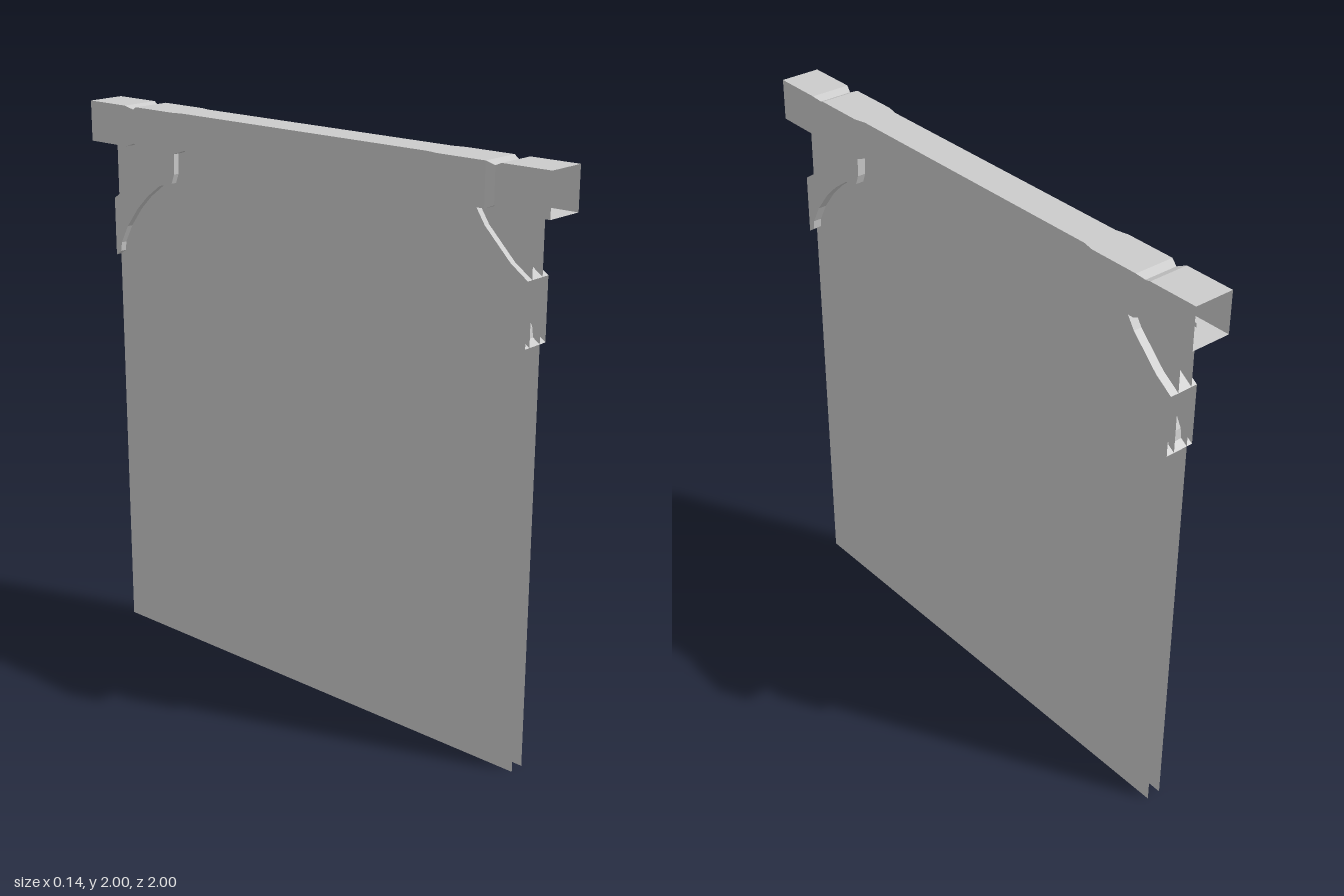
import * as THREE from 'three';

const material = new THREE.MeshStandardMaterial({
  color: 0xcccccc, flatShading: true, side: THREE.DoubleSide,
});

function addMesh(parent, geometry, name) {
  const mesh = new THREE.Mesh(geometry, material);
  mesh.name = name;
  parent.add(mesh);
  return mesh;
}

// Skin of quads between successive rows of points.
function loft(rows) {
  const pos = [];
  for (let i = 0; i < rows.length - 1; i++) {
    for (let j = 0; j < rows[i].length - 1; j++) {
      const a = rows[i][j], b = rows[i][j + 1], c = rows[i + 1][j + 1], d = rows[i + 1][j];
      pos.push(...a, ...b, ...c, ...a, ...c, ...d);
    }
  }
  const g = new THREE.BufferGeometry();
  g.setAttribute('position', new THREE.Float32BufferAttribute(pos, 3));
  g.computeVertexNormals();
  return g;
}

// Hollow square beam: [z, half width, bottom, top], mirrored along z.
function createBeam() {
  const half = [
    [1, 0.072, 1.856, 2],
    [0.82, 0.072, 1.856, 2],
    [0.79, 0.061, 1.868, 1.988],
    [0.762, 0.072, 1.856, 2],
    [0.58, 0.072, 1.856, 2],
    [0.535, 0.062, 1.872, 2],
  ];
  const sections = [...half, ...half.map(([z, ...r]) => [-z, ...r]).reverse()];
  return loft(sections.map(([z, w, b, t]) => [
    [-w, b, z], [w, b, z], [w, t, z], [-w, t, z], [-w, b, z],
  ]));
}

// Curved bracket, open towards the wall and the beam; outlines are [z, y].
function createBracket(name) {
  const upper = [[0.713, 1.856], [0.75, 1.80], [0.805, 1.745], [0.85, 1.70], [0.915, 1.655]];
  const lower = [
    [0.915, 1.445], [0.89, 1.462], [0.885, 1.495], [0.85, 1.56], [0.795, 1.63],
    [0.74, 1.683], [0.675, 1.73], [0.613, 1.746], [0.6, 1.78], [0.597, 1.856],
  ];
  const x0 = -0.05, x1 = 0.055;
  const bracket = new THREE.Group();
  bracket.name = name;
  const strip = (pts) => loft(pts.map(([z, y]) => [[x0, y, z], [x1, y, z]]));
  addMesh(bracket, strip(upper), 'bracketUpperCurve');
  addMesh(bracket, strip(lower), 'bracketLowerCurve');

  const shape = new THREE.Shape([...upper, ...lower].map(([z, y]) => new THREE.Vector2(z, y)));
  for (const [x, side] of [[x0, 'bracketRightSide'], [x1, 'bracketLeftSide']]) {
    const g = new THREE.ShapeGeometry(shape).rotateY(-Math.PI / 2).translate(x, 0, 0);
    addMesh(bracket, g, side);
  }
  return bracket;
}

export function createModel() {
  const model = new THREE.Group();
  model.name = 'hangingScreen';
  addMesh(model, createBeam(), 'beam');

  // Two thin sheets hanging below the beam
  for (const [x, name] of [[-0.028, 'rightSheet'], [0.025, 'leftSheet']]) {
    const g = new THREE.PlaneGeometry(1.83, 1.87).rotateY(Math.PI / 2);
    addMesh(model, g, name).position.set(x, 0.935, 0);
  }

  // Brackets at both ends
  const back = createBracket('backBracket');
  back.scale.z = -1;
  model.add(createBracket('frontBracket'), back);
  return model;
}
